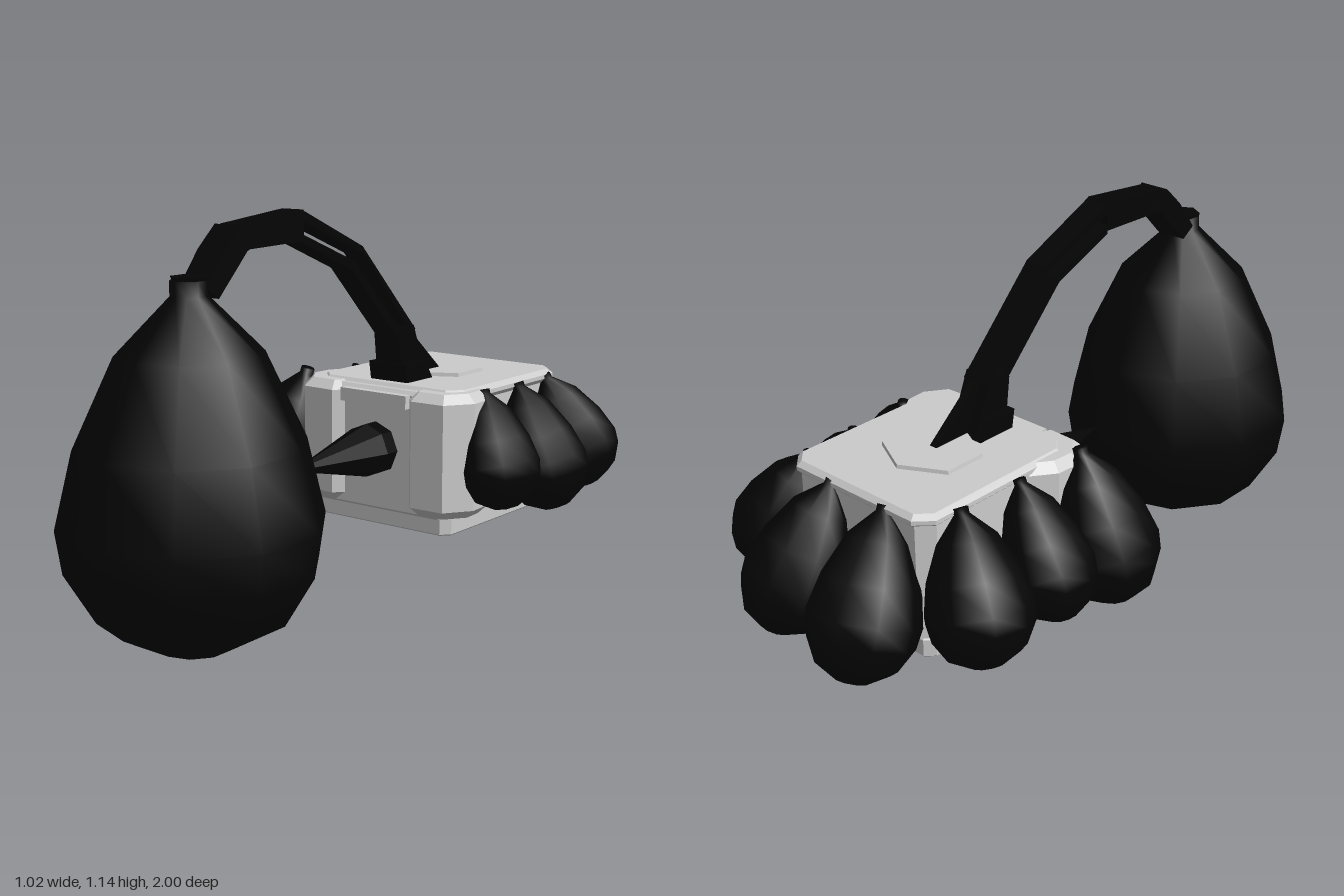
import * as THREE from 'three';

const CX = 0.02; // centre line of the body
const grey = new THREE.MeshStandardMaterial({ color: 0xcccccc, flatShading: true });
const black = new THREE.MeshStandardMaterial({ color: 0x040404, flatShading: true });
const blackSmooth = new THREE.MeshStandardMaterial({ color: 0x040404 });

function add(parent, name, geometry, material) {
  const mesh = new THREE.Mesh(geometry, material);
  mesh.name = name;
  parent.add(mesh);
  return mesh;
}

const toShape = (pts) => new THREE.Shape(pts.map(([a, b]) => new THREE.Vector2(a, b)));

// Side profile given as [z, y], given a width across x
function sidePlate(pts, width) {
  const g = new THREE.ExtrudeGeometry(toShape(pts), { depth: width, bevelEnabled: false });
  g.translate(0, 0, -width / 2);
  g.rotateY(-Math.PI / 2);
  g.translate(CX - 0.003, 0, 0);
  return g;
}

// Plan outline given as [x, z], raised from y0 to y1 with chamfered rims
function planBlock(pts, y0, y1, bevel) {
  const g = new THREE.ExtrudeGeometry(toShape(pts.map(([x, z]) => [x, -z])), {
    depth: y1 - y0 - 2 * bevel, bevelEnabled: true, bevelSize: bevel,
    bevelThickness: bevel, bevelOffset: -bevel, bevelSegments: 1,
  });
  g.rotateX(-Math.PI / 2);
  g.translate(0, y0 + bevel, 0);
  return g;
}

// Rectangle in plan with cut corners
function cutRect(x0, x1, z0, z1, c) {
  return [[x0 + c, z0], [x1 - c, z0], [x1, z0 + c], [x1, z1 - c],
    [x1 - c, z1], [x0 + c, z1], [x0, z1 - c], [x0, z0 + c]];
}

// Teardrop sack hanging from a top point to a bottom point
const sackProfile = [[0, 0], [0.28, 0.012], [0.72, 0.1], [0.95, 0.24], [1, 0.36],
  [0.86, 0.57], [0.55, 0.81], [0.14, 0.96], [0.14, 1], [0, 1]];
function sack(top, bottom, radius, sides) {
  const a = new THREE.Vector3(...bottom);
  const dir = new THREE.Vector3(...top).sub(a);
  const len = dir.length();
  const g = new THREE.LatheGeometry(
    sackProfile.map(([r, h]) => new THREE.Vector2(r * radius, h * len)), sides);
  g.applyQuaternion(new THREE.Quaternion().setFromUnitVectors(
    new THREE.Vector3(0, 1, 0), dir.normalize()));
  g.translate(a.x, a.y, a.z);
  return g;
}

export function createModel() {
  const model = new THREE.Group();

  // Body
  const body = new THREE.Group();
  body.name = 'body';
  model.add(body);
  add(body, 'bodyCore', planBlock(cutRect(-0.235, 0.275, -0.72, -0.135, 0.04), 0.22, 0.595, 0.012), grey);
  add(body, 'bottomPlate', planBlock(cutRect(-0.23, 0.27, -0.715, -0.142, 0.025), 0.178, 0.235, 0.004), grey);
  add(body, 'topCap', planBlock(cutRect(-0.238, 0.29, -0.728, -0.16, 0.045), 0.565, 0.605, 0.014), grey);
  add(body, 'frontBar', new THREE.BoxGeometry(0.24, 0.04, 0.03), grey).position.set(CX, 0.565, -0.128);

  // Front corner pillars, mirrored about the body's centre line
  const corner = [[0.12, -0.135], [0.145, -0.105], [0.255, -0.11], [0.31, -0.19],
    [0.305, -0.27], [0.25, -0.345], [0.12, -0.34]];
  for (const s of [1, -1]) {
    const pts = corner.map(([x, z]) => [CX + s * x, z]);
    add(body, s > 0 ? 'leftPillar' : 'rightPillar', planBlock(pts, 0.232, 0.6, 0.026), grey);
  }

  // Hexagonal lid
  const lid = add(body, 'hexLid', new THREE.CylinderGeometry(0.145, 0.15, 0.03, 6), grey);
  lid.position.set(CX - 0.003, 0.601, -0.445);
  lid.scale.z = 0.9;

  // Front spike
  const spike = new THREE.Group();
  spike.name = 'spike';
  model.add(spike);
  const cone = new THREE.ConeGeometry(0.08, 0.34, 8);
  cone.rotateX(Math.PI / 2);
  add(spike, 'spikeCone', cone, black).position.set(CX - 0.003, 0.412, 0.08);
  const root = new THREE.CylinderGeometry(0.08, 0.08, 0.07, 8);
  root.rotateX(Math.PI / 2);
  add(spike, 'spikeRoot', root, black).position.set(CX - 0.003, 0.412, -0.124);

  // Hanging arm
  const arm = new THREE.Group();
  arm.name = 'arm';
  model.add(arm);
  add(arm, 'armFoot', sidePlate([[-0.2, 0.6], [-0.19, 0.66], [-0.29, 0.66], [-0.33, 0.6]], 0.135), black);
  add(arm, 'armPost', sidePlate([[-0.2, 0.62], [-0.185, 0.75], [-0.195, 0.77], [-0.26, 0.77], [-0.32, 0.62]], 0.09), black);
  add(arm, 'armFin', sidePlate([[-0.23, 0.6], [-0.25, 0.77], [-0.29, 0.745], [-0.46, 0.6]], 0.025), black);
  add(arm, 'upperRail', sidePlate([[0.24, 1.137], [0.24, 1.107], [-0.03, 0.998], [-0.25, 0.755], [-0.28, 0.755], [-0.02, 1.022]], 0.075), black);
  add(arm, 'lowerRail', sidePlate([[0.24, 1.072], [0.24, 1.047], [0.03, 0.96], [-0.185, 0.74], [-0.21, 0.755], [0.015, 0.982]], 0.075), black);
  add(arm, 'armHead', sidePlate([[0.24, 1.14], [0.24, 1.055], [0.46, 1.05], [0.49, 1.115]], 0.075), black);
  add(arm, 'armHook', sidePlate([[0.5, 1.115], [0.43, 1.07], [0.48, 1.047], [0.59, 0.935], [0.635, 0.965], [0.565, 1.055]], 0.095), black);

  // Large hanging sack with its tied neck
  const big = new THREE.Group();
  big.name = 'hangingSack';
  model.add(big);
  add(big, 'sackBody', sack([0.017, 0.985, 0.65], [0.01, 0, 0.645], 0.358, 10), blackSmooth);
  add(big, 'sackNeck', new THREE.CylinderGeometry(0.05, 0.036, 0.04, 6), black).position.set(0.017, 0.975, 0.648);

  // Small sacks around the sides and back: top, bottom, radius
  const sacks = [
    [[-0.28, 0.615, -0.18], [-0.405, 0.17, -0.145], 0.152],
    [[-0.25, 0.595, -0.39], [-0.415, 0.23, -0.39], 0.128],
    [[-0.24, 0.595, -0.6], [-0.395, 0.21, -0.665], 0.15],
    [[-0.08, 0.59, -0.71], [-0.15, 0.18, -0.92], 0.156],
    [[0.12, 0.59, -0.71], [0.175, 0.19, -0.905], 0.145],
    [[0.28, 0.59, -0.65], [0.395, 0.245, -0.75], 0.138],
    [[0.29, 0.59, -0.48], [0.43, 0.22, -0.5], 0.132],
    [[0.3, 0.6, -0.28], [0.4, 0.26, -0.26], 0.122],
  ];
  const ring = new THREE.Group();
  ring.name = 'sideSacks';
  model.add(ring);
  sacks.forEach(([t, b, r], i) => add(ring, `sideSack${i + 1}`, sack(t, b, r, 9), blackSmooth));

  return model;
}
